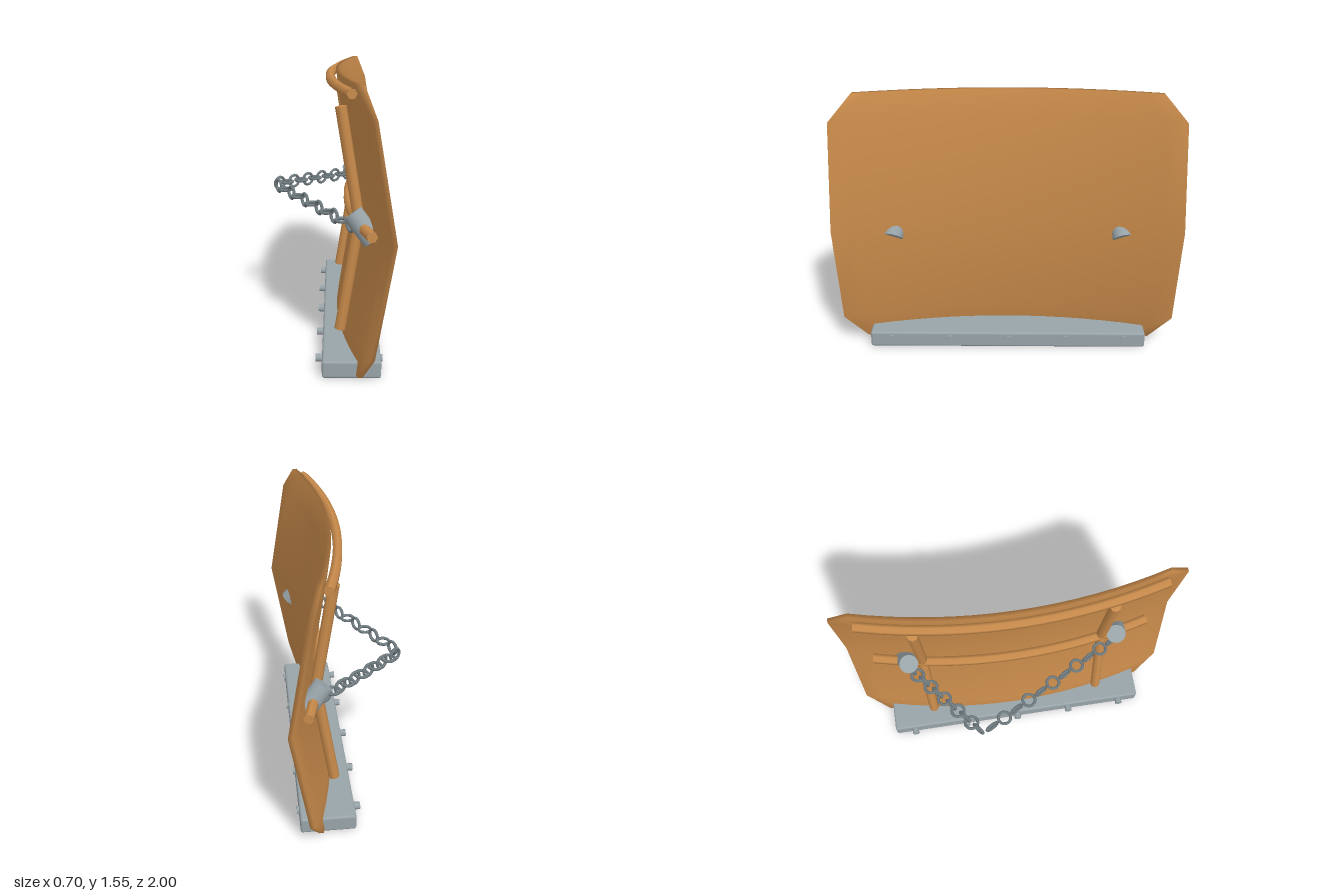
import * as THREE from 'three';
import { RoundedBoxGeometry } from 'three/addons/geometries/RoundedBoxGeometry.js';

const orange = new THREE.MeshStandardMaterial({ color: 0xc98b4b });
const steel = new THREE.MeshStandardMaterial({ color: 0x98a4a9 });
const darkSteel = new THREE.MeshStandardMaterial({ color: 0x717d82 });
const V = (x, y, z) => new THREE.Vector3(x, y, z);
const bow = z => 0.16 * z * z; // sideways curvature shared by plate and cross bars

function add(parent, name, geometry, material) {
  const mesh = new THREE.Mesh(geometry, material);
  mesh.name = name;
  parent.add(mesh);
  return mesh;
}

// Straight rod between two points
function rod(parent, name, a, b, radius, sides, material) {
  const mesh = add(parent, name, new THREE.CylinderGeometry(radius, radius, a.distanceTo(b), sides), material);
  mesh.position.copy(a).lerp(b, 0.5);
  mesh.quaternion.setFromUnitVectors(V(0, 1, 0), b.clone().sub(a).normalize());
  return mesh;
}

// Bowed bar following the plate, closed at both ends
function bowedBar(parent, name, x, y, radius) {
  const bar = new THREE.Group();
  bar.name = name;
  parent.add(bar);
  const points = [];
  for (let i = 0; i <= 12; i++) {
    const z = -0.84 + 0.14 * i;
    points.push(V(x + bow(z), y, z));
  }
  const curve = new THREE.CatmullRomCurve3(points);
  add(bar, 'barTube', new THREE.TubeGeometry(curve, 24, radius, 6), orange);
  for (const end of [0, 1]) {
    const cap = add(bar, 'barEnd', new THREE.CircleGeometry(radius, 6), orange);
    cap.position.copy(curve.getPoint(end));
    cap.quaternion.setFromUnitVectors(V(0, 0, 1), curve.getTangent(end).multiplyScalar(end ? 1 : -1));
  }
}

// Curved plate: height, half width and bend per row, with a thin closed rim
function plateGeometry() {
  const rows = [[0.02, 0.86, -0.12], [0.18, 0.99, -0.1], [0.79, 1, 0], [1.4, 0.99, -0.1], [1.55, 0.86, -0.12]];
  const cols = [-1];
  for (let i = 0; i <= 14; i++) cols.push(-0.88 + (1.76 * i) / 14);
  cols.push(1);
  const n = cols.length, m = rows.length, count = n * m, thickness = 0.025;
  const positions = [], index = [];
  for (const offset of [0, thickness])
    for (const [y, half, bend] of rows)
      for (const t of cols) positions.push(0.19 + bend + bow(t * half) - offset, y, t * half);
  for (let j = 0; j < m - 1; j++)
    for (let i = 0; i < n - 1; i++) {
      const a = j * n + i, b = a + 1, c = a + n, d = c + 1;
      index.push(a, c, b, b, c, d);
      index.push(a + count, b + count, c + count, b + count, d + count, c + count);
    }
  const rim = [];
  for (let i = 0; i < n - 1; i++) rim.push(i);
  for (let j = 0; j < m - 1; j++) rim.push(j * n + n - 1);
  for (let i = n - 1; i > 0; i--) rim.push((m - 1) * n + i);
  for (let j = m - 1; j > 0; j--) rim.push(j * n);
  rim.forEach((p, k) => {
    const q = rim[(k + 1) % rim.length];
    index.push(p, q, p + count, q, q + count, p + count);
  });
  const geometry = new THREE.BufferGeometry();
  geometry.setAttribute('position', new THREE.Float32BufferAttribute(positions, 3));
  geometry.setIndex(index);
  geometry.computeVertexNormals();
  return geometry;
}

export function createModel() {
  const model = new THREE.Group();
  model.name = 'bladePlate';

  add(model, 'curvedPlate', plateGeometry(), orange);

  // Base bar with studs through it
  const base = add(model, 'baseBar', new RoundedBoxGeometry(0.315, 0.098, 1.66, 2, 0.014), steel);
  base.position.set(0.1325, 0.049, 0);
  for (let i = -2; i <= 2; i++)
    rod(model, 'baseStud', V(-0.06, 0.06, i * 0.35), V(0.302, 0.06, i * 0.35), 0.022, 8, steel);

  // Horizontal reinforcing bars
  bowedBar(model, 'topBar', 0.012, 1.51, 0.028);
  bowedBar(model, 'middleBar', 0.12, 0.785, 0.03);

  for (const s of [-1, 1]) {
    // Upright ribs, bent at mid height
    const knee = V(0.172, 0.79, s * 0.55);
    rod(model, 'upperRib', knee, V(0.072, 1.41, s * 0.55), 0.031, 8, orange);
    rod(model, 'lowerRib', V(0.072, 0.165, s * 0.55), knee, 0.031, 8, orange);
    // Slanted pegs through the plate
    rod(model, 'chainPeg', V(0.135, 0.855, s * 0.63), V(0.245, 0.715, s * 0.665), 0.057, 16, steel);
  }

  // Slack chain: alternating upright and flat rings on two straight runs
  const chain = new THREE.Group();
  chain.name = 'chain';
  model.add(chain);
  const ring = new THREE.TorusGeometry(0.037, 0.009, 6, 16);
  for (const [startZ, stepZ] of [[-0.275, -0.035], [-0.195, 0.08]])
    for (let i = 0; i <= 10; i++) {
      const link = add(chain, 'chainLink', ring, darkSteel);
      link.position.set(-0.31 + 0.0435 * i, 0.8 - 0.0015 * i, startZ + stepZ * i);
      link.rotation.order = 'YXZ';
      link.rotation.y = Math.atan2(-stepZ, 0.0435);
      if (i % 2) link.rotation.x = Math.PI / 2;
    }
  return model;
}
